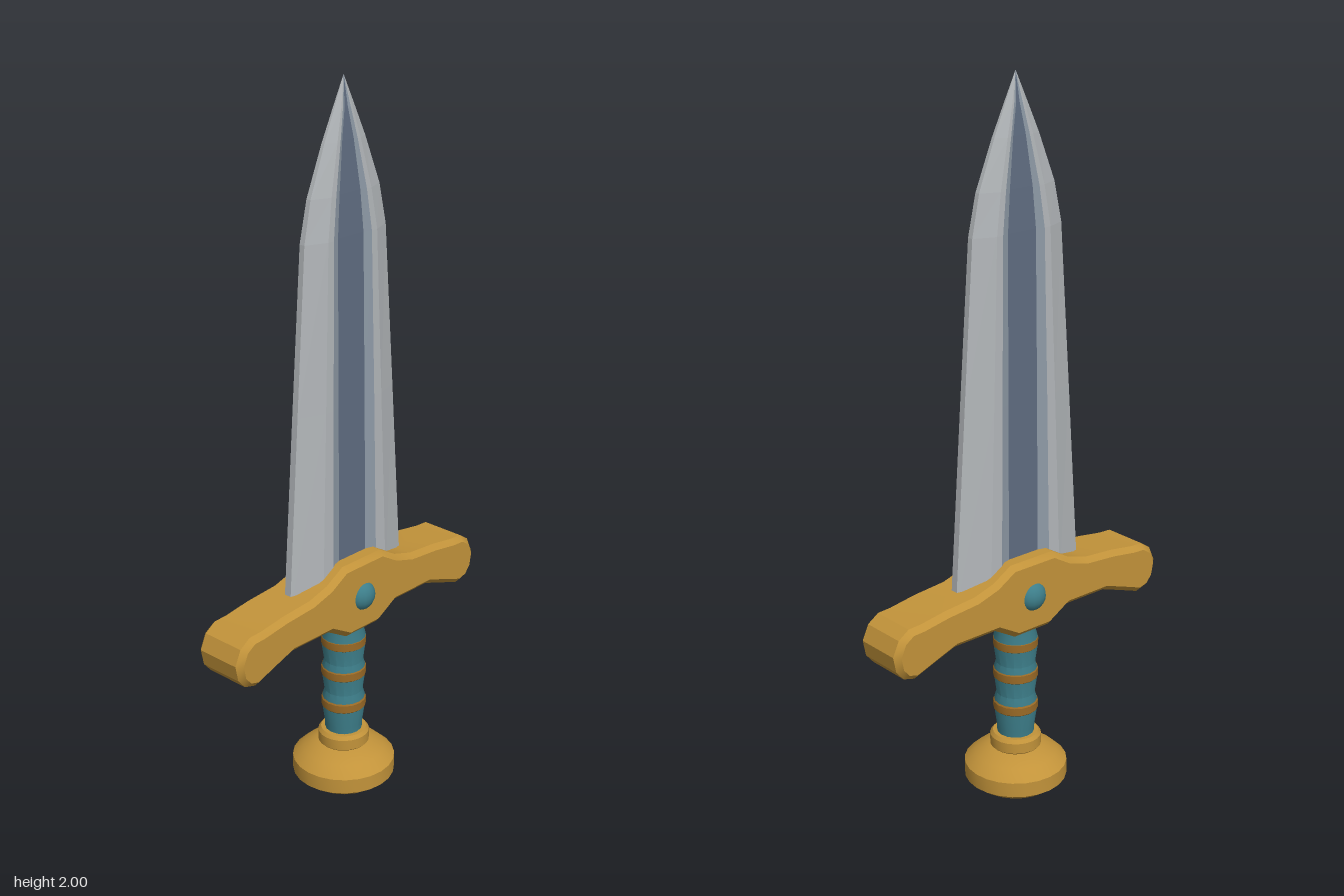
import * as THREE from 'three';
import { toCreasedNormals } from 'three/addons/utils/BufferGeometryUtils.js';

const material = (name, color) => {
  const m = new THREE.MeshStandardMaterial({ color });
  m.name = name;
  return m;
};

// Blade rows: y, half widths of edge, bevel, ridge and groove, then ridge and groove depth
const BLADE = [
  [0.60, 0.220, 0.125, 0.086, 0.052, 0.043, 0.033],
  [1.15, 0.182, 0.106, 0.078, 0.050, 0.038, 0.029],
  [1.60, 0.150, 0.090, 0.070, 0.047, 0.033, 0.025],
  [1.71, 0.126, 0.073, 0.056, 0.038, 0.028, 0.022],
  [1.84, 0.074, 0.042, 0.031, 0.021, 0.019, 0.015],
  [1.92, 0.037, 0.020, 0.014, 0.006, 0.011, 0.009],
  [2.00, 0, 0, 0, 0, 0, 0],
];

// Closed outline of one blade row, front face left to right, then back face
function bladeRing([y, edge, bevel, ridge, groove, rz, gz]) {
  const half = [[edge, rz * 0.25], [bevel, rz], [ridge, rz], [groove, gz]];
  const front = [
    ...half.map(([x, z]) => [-x, z]), [0, gz], ...half.slice().reverse(),
  ];
  const back = front.map(([x, z]) => [-x, -z]);
  return [...front, ...back].map(([x, z]) => new THREE.Vector3(x, y, z));
}

// Faceted strips of the blade whose column is listed in cols
function bladeStrips(cols) {
  const rings = BLADE.map(bladeRing);
  const n = rings[0].length;
  const points = [];
  for (let i = 0; i < rings.length - 1; i++) {
    for (const j of cols) {
      const k = (j + 1) % n;
      const [a, b, c, d] = [rings[i][j], rings[i][k], rings[i + 1][k], rings[i + 1][j]];
      points.push(a, b, c);
      if (i < rings.length - 2) points.push(a, c, d);
    }
  }
  const g = new THREE.BufferGeometry().setFromPoints(points);
  g.computeVertexNormals();
  return g;
}

// Right half of the crossguard outline, from top centre round to bottom centre
const GUARD = [
  [0.075, 0.71], [0.135, 0.675], [0.20, 0.656], [0.30, 0.648], [0.38, 0.636],
  [0.42, 0.634], [0.453, 0.612], [0.472, 0.57], [0.463, 0.525], [0.44, 0.498],
  [0.405, 0.488], [0.34, 0.511], [0.27, 0.535], [0.13, 0.535], [0.06, 0.495],
];

function guardGeometry() {
  const left = GUARD.map(([x, y]) => [-x, y]).reverse();
  const shape = new THREE.Shape([...GUARD, ...left].map(([x, y]) => new THREE.Vector2(x, y)));
  const bevel = 0.015;
  const g = new THREE.ExtrudeGeometry(shape, {
    depth: 0.16 - 2 * bevel, bevelEnabled: true, bevelSegments: 1,
    bevelSize: bevel, bevelThickness: bevel, bevelOffset: -bevel,
  });
  g.translate(0, 0, -0.08 + bevel);
  return toCreasedNormals(g, 0.5);
}

const lathe = (profile, sides) => toCreasedNormals(
  new THREE.LatheGeometry(profile.map(([r, y]) => new THREE.Vector2(r, y)), sides), 0.5);

export function createModel() {
  const steel = material('steel', 0xb2b6b9);
  const steelBlue = material('steel blue', 0x8e9aa6);
  const darkSteel = material('dark steel', 0x5f6c80);
  const gold = material('gold', 0xc2933a);
  const teal = material('teal', 0x3d7e8a);
  const leather = material('brown leather', 0x9a6a26);

  const model = new THREE.Group();
  model.name = 'sword';
  const add = (name, geometry, mat) => {
    const mesh = new THREE.Mesh(geometry, mat);
    mesh.name = name;
    model.add(mesh);
    return mesh;
  };

  // Blade: bright edges, tinted groove walls, dark fuller
  add('bladeEdges', bladeStrips([0, 1, 6, 7, 8, 9, 10, 15, 16, 17]), steel);
  add('grooveWalls', bladeStrips([2, 5, 11, 14]), steelBlue);
  add('fuller', bladeStrips([3, 4, 12, 13]), darkSteel);

  // Crossguard with a gem on both faces
  add('crossguard', guardGeometry(), gold);
  for (const side of [1, -1]) {
    const gem = add(side > 0 ? 'frontGem' : 'backGem', new THREE.SphereGeometry(1, 16, 10), teal);
    gem.scale.set(0.043, 0.043, 0.036);
    gem.position.set(0, 0.6, side * 0.065);
  }

  // Grip swells toward each wrapped band
  add('grip', lathe([
    [0.052, 0.15], [0.053, 0.18], [0.060, 0.23], [0.060, 0.265], [0.054, 0.285],
    [0.061, 0.335], [0.061, 0.36], [0.055, 0.38], [0.062, 0.43], [0.062, 0.455],
    [0.057, 0.475], [0.060, 0.53],
  ], 16), teal);
  [0.248, 0.348, 0.443].forEach((y, i) => {
    add('gripBand' + (i + 1), lathe([
      [0.057, y - 0.018], [0.063, y - 0.012], [0.063, y + 0.010], [0.057, y + 0.018],
    ], 16), leather);
  });

  // Pommel and its collar
  add('pommel', lathe([
    [0, 0.003], [0.113, 0.003], [0.145, 0.027], [0.145, 0.07], [0.115, 0.098],
    [0.072, 0.118], [0, 0.118],
  ], 24), gold);
  add('pommelCollar', lathe([
    [0.062, 0.112], [0.072, 0.122], [0.072, 0.152], [0.064, 0.162], [0, 0.162],
  ], 24), gold);

  return model;
}
